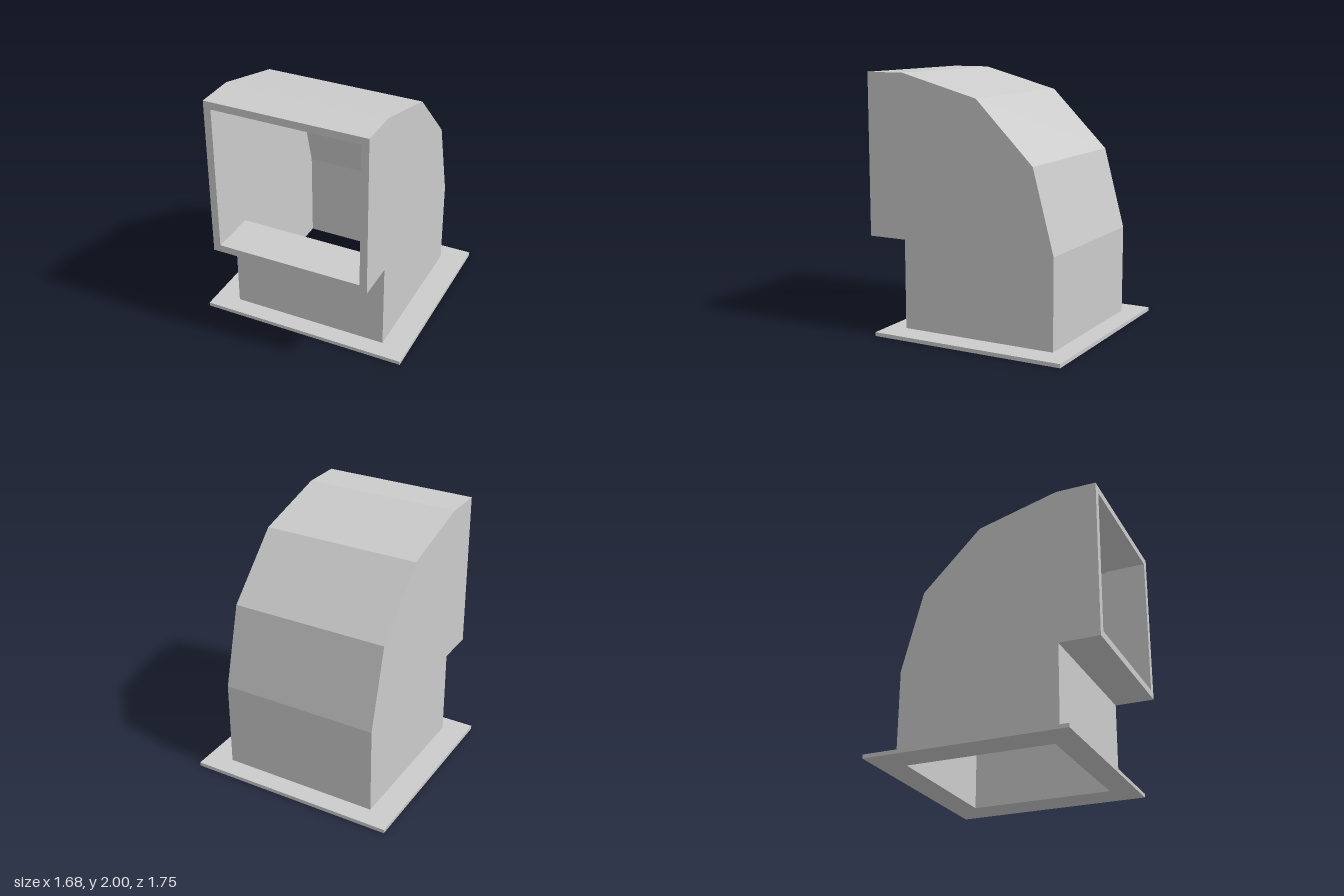
import * as THREE from 'three';

const PLATE = 0.03;   // flange thickness
const FRONT = 0.873;  // z of the open mouth
const PIVOT = { z: 0.555, y: 0.73 }; // centre of the elbow bend

// Duct cross-sections from the base, round the elbow, to the mouth.
// Each is a loop of four corners, alternating outer and inner side of the bend.
function sections(halfWidth, radius, inset) {
  const iz = PIVOT.z - inset, iy = PIVOT.y + inset;
  const lines = [[PIVOT.z - radius, PLATE, iz, PLATE]];
  for (let k = 0; k <= 3; k++) {
    const a = (k * Math.PI) / 6;
    lines.push([PIVOT.z - radius * Math.cos(a), PIVOT.y + radius * Math.sin(a), iz, iy]);
  }
  lines.push([FRONT, PIVOT.y + radius, FRONT, iy]);
  return lines.map(([oz, oy, nz, ny]) => [
    new THREE.Vector3(halfWidth, oy, oz),
    new THREE.Vector3(halfWidth, ny, nz),
    new THREE.Vector3(-halfWidth, ny, nz),
    new THREE.Vector3(-halfWidth, oy, oz),
  ]);
}

function ductGeometry() {
  const pos = [];
  const tri = (a, b, c) => {
    if (a.equals(b) || b.equals(c) || c.equals(a)) return;
    for (const p of [a, b, c]) pos.push(p.x, p.y, p.z);
  };
  const quad = (a, b, c, d) => { tri(a, b, c); tri(a, c, d); };

  const outer = sections(0.635, 1.27, 0);
  const inner = sections(0.577, 1.212, 0.058);
  const last = outer.length - 1;
  for (let j = 0; j < 4; j++) {
    const n = (j + 1) % 4;
    // outside and inside walls
    for (let i = 0; i < last; i++) {
      quad(outer[i][j], outer[i + 1][j], outer[i + 1][n], outer[i][n]);
      quad(inner[i][n], inner[i + 1][n], inner[i + 1][j], inner[i][j]);
    }
    // rim of the mouth
    quad(outer[last][n], outer[last][j], inner[last][j], inner[last][n]);
  }
  const geo = new THREE.BufferGeometry();
  geo.setAttribute('position', new THREE.Float32BufferAttribute(pos, 3));
  geo.computeVertexNormals();
  return geo;
}

// Rectangle in plan; shape y is -z
function rect(target, x0, x1, z0, z1) {
  target.moveTo(x0, -z1).lineTo(x1, -z1).lineTo(x1, -z0).lineTo(x0, -z0).closePath();
  return target;
}

export function createModel() {
  const model = new THREE.Group();
  model.name = 'ventElbow';
  const material = new THREE.MeshStandardMaterial({ color: 0xcccccc, flatShading: true });

  // hollow elbow duct
  const duct = new THREE.Mesh(ductGeometry(), material);
  duct.name = 'elbowDuct';
  duct.position.x = -0.003;

  // base flange with the duct opening cut through
  const shape = rect(new THREE.Shape(), -0.838, 0.838, -0.873, 0.7);
  shape.holes.push(rect(new THREE.Path(), -0.58, 0.574, -0.657, 0.497));
  const flangeGeo = new THREE.ExtrudeGeometry(shape, { depth: PLATE, bevelEnabled: false });
  flangeGeo.rotateX(-Math.PI / 2);
  const flange = new THREE.Mesh(flangeGeo, material);
  flange.name = 'baseFlange';

  model.add(duct, flange);
  return model;
}
